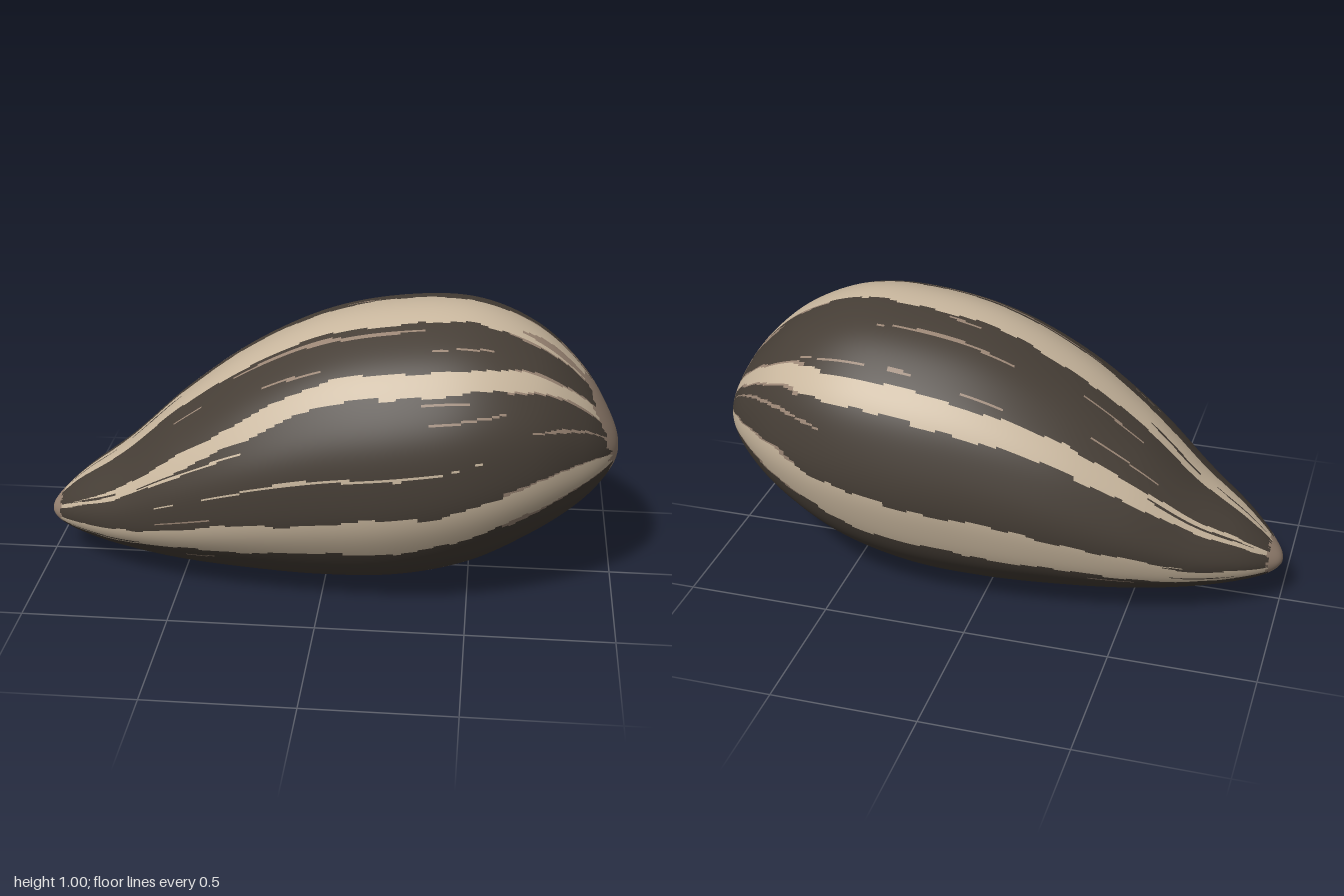
import * as THREE from 'three';

const RINGS = 110, SEGS = 360;
const DEG = Math.PI / 180;

// [top y, bottom y, half width] at equal steps of the angle whose -cosine is x
const SECTIONS = [
  [0.165, 0.165, 0], [0.23, 0.125, 0.07], [0.325, 0.095, 0.165], [0.445, 0.065, 0.265],
  [0.635, 0.035, 0.36], [0.81, 0.015, 0.43], [0.935, 0.003, 0.47], [0.99, 0.018, 0.487],
  [0.99, 0.08, 0.465], [0.91, 0.19, 0.39], [0.77, 0.3, 0.268], [0.61, 0.41, 0.135], [0.495, 0.495, 0],
];

// Pale stripes: [centre angle, half width, drift towards the point], degrees from the top to +z
const STRIPES = [
  [6, 12, 0], [48, 5, 22], [112, 9.5, 0], [177, 16, 0], [-106, 10, 0], [-54, 6, 4],
];

// Streaks: [x from, x to, angle, half width, colour]
const STREAKS = [
  [-0.6, 0.55, 84, 0.6, 'pale'], [0.5, 0.97, -72, 1, 'brown'], [-0.9, -0.2, 66, 0.7, 'pale'],
  [0.66, 0.95, 13, 4, 'brown'], [0.78, 0.95, -14, 4, 'brown'], [0.72, 0.97, 176, 6, 'brown'],
  [-0.3, 0.35, 22, 1, 'brown'], [-0.1, 0.4, -22, 0.8, 'brown'], [0.7, 0.97, 74, 1.2, 'brown'],
];

function seeded(seed) {
  return () => (seed = (seed * 16807) % 2147483647) / 2147483647;
}

const wrap = (a) => ((a + 540) % 360) - 180;

function makeStreaks() {
  const rand = seeded(41);
  const list = [...STREAKS];
  for (let i = 0; i < 30; i++) {
    const [c, w] = STRIPES[i % STRIPES.length];
    const side = rand() < 0.5 ? -1 : 1;
    const x = -0.85 + rand() * 1.3;
    list.push([x, x + 0.1 + rand() * 0.2, c + side * (w + 3 + rand() * 9), 0.6, rand() < 0.5 ? 'brown' : 'dark']);
  }
  // dark slivers running into the pale stripes near the point
  for (let i = 0; i < 12; i++) {
    const [c, w, drift] = STRIPES[i % STRIPES.length];
    const x = -0.95 + rand() * 0.25;
    list.push([x, x + 0.2, c + drift * 0.8 + (rand() - 0.5) * 2 * w, 1.2, 'dark']);
  }
  return list;
}

function colourAt(x, y, z, angle, streaks) {
  const ragged = 0.08 * Math.sin(angle * 0.21) + 0.05 * Math.sin(angle * 0.53 + 1);
  // brown caps at the point and the blunt end
  if (x < -0.955 + 0.03 * ragged) return 'brown';
  if (x > 0.75 && Math.hypot((z - 0.02) / 0.125, (y - 0.59) / 0.165) < 1 + ragged) return 'brown';
  // stripes meet a little above the middle of the blunt end
  const lift = 18 * Math.max(0, (x - 0.4) / 0.6) ** 1.5;
  const a = angle + lift * Math.sin(angle * DEG);
  for (const [x0, x1, c, w, colour] of streaks) {
    if (x < x0 || x > x1) continue;
    const taper = Math.sqrt(Math.sin(Math.PI * (x - x0) / (x1 - x0)));
    if (Math.abs(wrap(a - c + Math.sin(x * 9 + c))) < w * taper) return colour;
  }
  const wobble = 0.9 * Math.sin(x * 13 + angle * 0.3) + 0.6 * Math.sin(x * 37 + angle * 0.7);
  for (const [c, w, drift] of STRIPES) {
    const off = Math.abs(wrap(a - c - drift * Math.max(0, -x)));
    if (off < w + wobble) return 'pale';
    if (x > 0.6 && off < w + wobble + 1.5) return 'brown';
  }
  return 'dark';
}

export function createModel() {
  const group = new THREE.Group();
  group.name = 'sunflowerSeed';

  const profile = new THREE.CatmullRomCurve3(
    SECTIONS.map((s) => new THREE.Vector3(...s)), false, 'catmullrom', 0.5);

  // Surface position for ring fraction t and angle in degrees
  function surface(t, angle) {
    const s = profile.getPoint(t);
    const x = -Math.cos(Math.PI * t);
    const ripple = 1 + 0.004 * Math.sin(angle * 11 * DEG + x) * Math.sin(Math.PI * t);
    const y = (s.x + s.y) / 2 + (s.x - s.y) / 2 * Math.cos(angle * DEG) * ripple;
    return [x, Math.max(0, y), Math.max(0, s.z) * Math.sin(angle * DEG) * ripple];
  }

  const positions = [];
  for (let i = 0; i <= RINGS; i++) {
    for (let j = 0; j < SEGS; j++) positions.push(...surface(i / RINGS, j * 360 / SEGS));
  }

  // Sort the cells of the shell by colour
  const streaks = makeStreaks();
  const faces = { dark: [], pale: [], brown: [] };
  for (let i = 0; i < RINGS; i++) {
    for (let j = 0; j < SEGS; j++) {
      const angle = (j + 0.5) * 360 / SEGS;
      const [x, y, z] = surface((i + 0.5) / RINGS, angle);
      const a = i * SEGS + j, b = i * SEGS + (j + 1) % SEGS;
      const c = a + SEGS, d = b + SEGS;
      faces[colourAt(x, y, z, wrap(angle), streaks)].push(a, b, c, b, d, c);
    }
  }

  // Smooth normals over the whole shell, shared by the coloured parts
  const shell = new THREE.BufferGeometry();
  shell.setAttribute('position', new THREE.Float32BufferAttribute(positions, 3));
  shell.setIndex([...faces.dark, ...faces.pale, ...faces.brown]);
  shell.computeVertexNormals();

  const parts = [
    ['darkHull', 'dark', 'charcoalBrown', 0x463e36],
    ['paleStripes', 'pale', 'cream', 0xc9b79e],
    ['brownEnds', 'brown', 'dustyBrown', 0x9a8574],
  ];
  for (const [name, key, colourName, color] of parts) {
    const geometry = new THREE.BufferGeometry();
    geometry.setAttribute('position', shell.getAttribute('position'));
    geometry.setAttribute('normal', shell.getAttribute('normal'));
    geometry.setIndex(faces[key]);
    const material = new THREE.MeshStandardMaterial({ color });
    material.name = colourName;
    const mesh = new THREE.Mesh(geometry, material);
    mesh.name = name;
    group.add(mesh);
  }
  return group;
}
